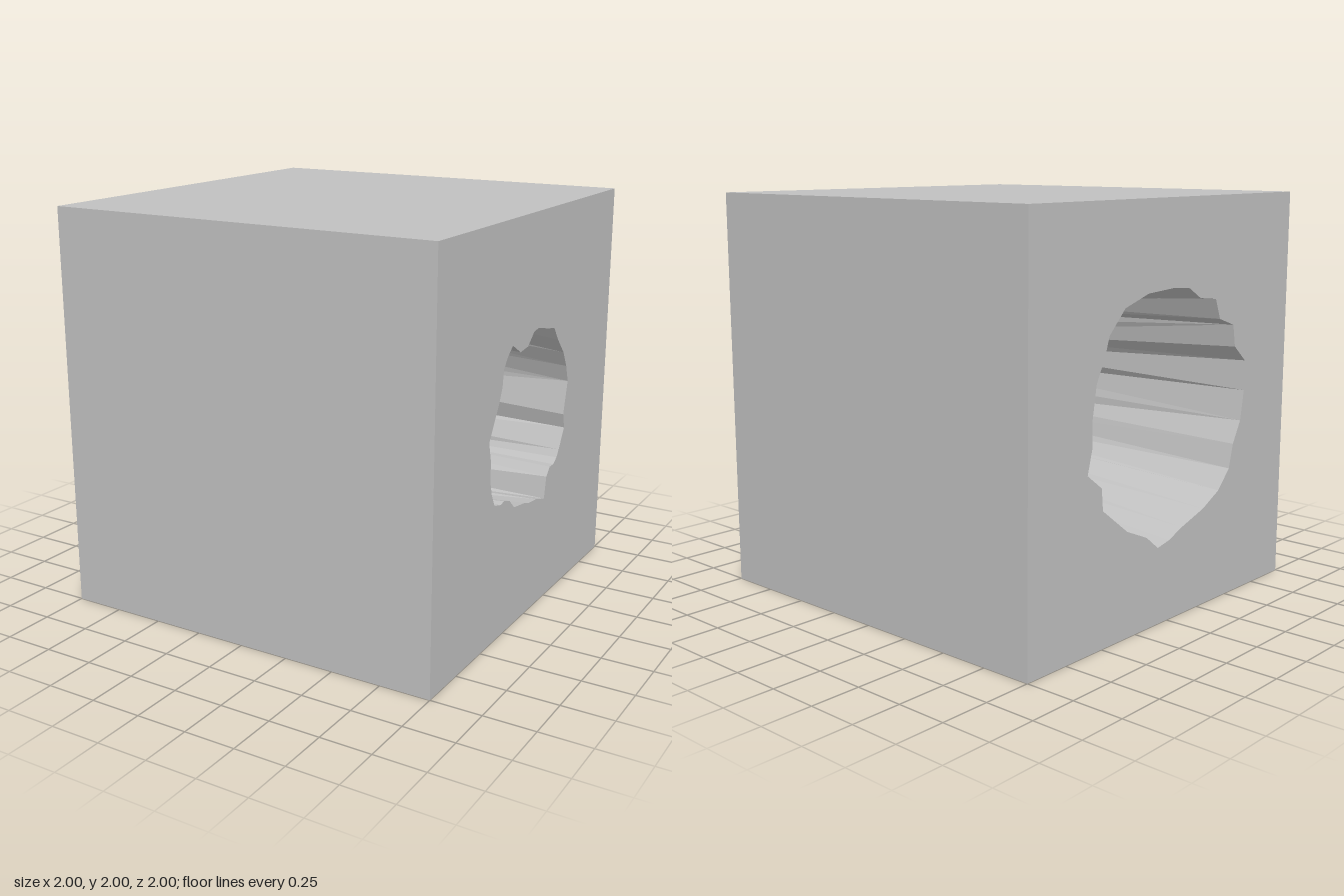
import * as THREE from 'three';

// Jagged tunnel mouths as (z, y) pairs
const rightMouth = [
  0.24, 1.42, 0.15, 1.37, 0.065, 1.38, 0, 1.435, -0.053, 1.445, -0.165, 1.42, -0.25, 1.405,
  -0.305, 1.335, -0.385, 1.255, -0.43, 1.175, -0.46, 1.09, -0.42, 0.925, -0.44, 0.85,
  -0.38, 0.75, -0.355, 0.715, -0.315, 0.69, -0.27, 0.69, -0.23, 0.65, -0.21, 0.54,
  -0.105, 0.57, -0.01, 0.58, 0.03, 0.595, 0.16, 0.615, 0.215, 0.665, 0.28, 0.685,
  0.315, 0.677, 0.385, 0.695, 0.42, 0.76, 0.44, 0.83, 0.44, 0.925, 0.465, 1.02,
  0.415, 1.105, 0.375, 1.17, 0.34, 1.25, 0.33, 1.33, 0.29, 1.38,
];
const leftMouth = [
  0.35, 1.51, 0.22, 1.525, 0.125, 1.58, 0.01, 1.59, -0.19, 1.58, -0.36, 1.53, -0.47, 1.42,
  -0.5, 1.33, -0.555, 1.22, -0.58, 1.07, -0.58, 0.94, -0.61, 0.825, -0.51, 0.75,
  -0.5, 0.645, -0.32, 0.51, -0.17, 0.447, -0.08, 0.377, 0.01, 0.395, 0.11, 0.435,
  0.29, 0.49, 0.42, 0.555, 0.51, 0.65, 0.54, 0.77, 0.6, 0.88, 0.625, 1.03, 0.625, 1.18,
  0.53, 1.26, 0.51, 1.37, 0.39, 1.41,
];

// Turn a list into a ring ordered by angle about the tunnel axis
function ring(list, x) {
  const pts = [];
  for (let i = 0; i < list.length; i += 2) {
    const [z, y] = [list[i], list[i + 1]];
    pts.push({ x, y, z, a: Math.atan2(y - 1, z) });
  }
  return pts.sort((p, q) => p.a - q.a);
}

// Square end wall pierced by the mouth; side is +1 or -1 along x
function endWall(points, side) {
  const corners = [[-1, 0], [1, 0], [1, 2], [-1, 2]];
  const shape = new THREE.Shape(corners.map(([u, v]) => new THREE.Vector2(u, v)));
  shape.holes.push(new THREE.Path(points.map((p) => new THREE.Vector2(-side * p.z, p.y))));
  return new THREE.ShapeGeometry(shape).rotateY(side * Math.PI / 2).translate(side, 0, 0);
}

// Long triangles joining the two rings, facing the axis
function tunnelWall(R, L) {
  const pos = [];
  const add = (...ps) => ps.forEach((p) => pos.push(p.x, p.y, p.z));
  const at = (r, i) => r[i % r.length];
  const angle = (r, i) => at(r, i).a + (i >= r.length ? Math.PI * 2 : 0);
  let i = 0, j = 0;
  while (i < R.length || j < L.length) {
    const stepRight = j >= L.length || (i < R.length && angle(R, i + 1) <= angle(L, j + 1));
    if (stepRight) {
      add(at(R, i), at(L, j), at(R, i + 1));
      i++;
    } else {
      add(at(L, j), at(L, j + 1), at(R, i));
      j++;
    }
  }
  const g = new THREE.BufferGeometry();
  g.setAttribute('position', new THREE.Float32BufferAttribute(pos, 3));
  g.computeVertexNormals();
  return g;
}

export function createModel() {
  const model = new THREE.Group();
  model.name = 'piercedCube';
  const grey = new THREE.MeshStandardMaterial({ color: 0xc0c0c0 });
  grey.name = 'light grey';
  const add = (name, geometry) => {
    const mesh = new THREE.Mesh(geometry, grey);
    mesh.name = name;
    model.add(mesh);
  };

  // Top, bottom, front and back of the cube, without the two x faces
  const shell = new THREE.BoxGeometry(2, 2, 2).translate(0, 1, 0);
  shell.setIndex(Array.from(shell.index.array).slice(12));
  shell.clearGroups();
  add('cubeShell', shell);

  // Pierced ends and the rough tunnel between them
  const R = ring(rightMouth, 1);
  const L = ring(leftMouth, -1);
  add('smallMouthWall', endWall(R, 1));
  add('largeMouthWall', endWall(L, -1));
  add('tunnel', tunnelWall(R, L));
  return model;
}
